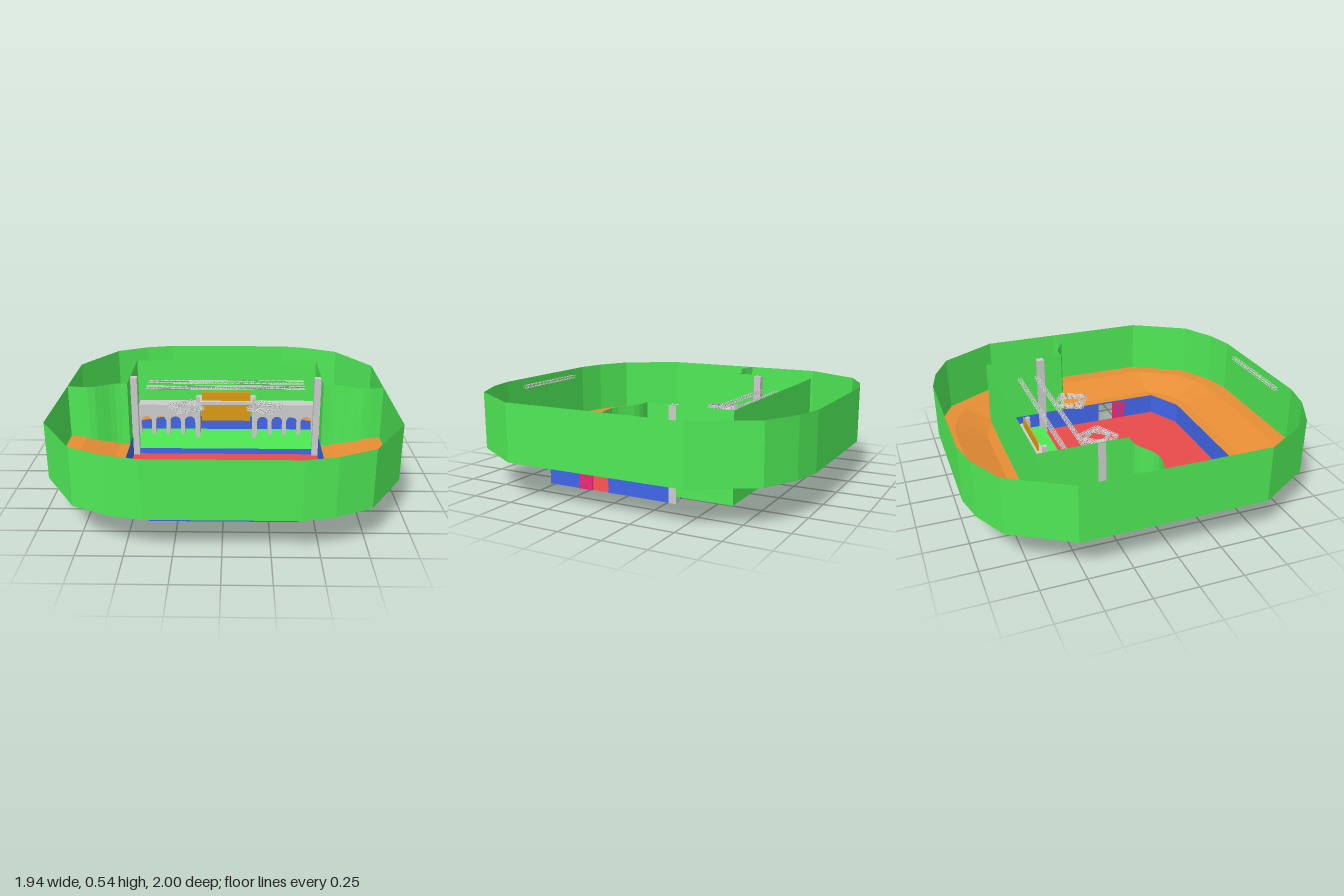
import * as THREE from 'three';
import { mergeGeometries } from 'three/addons/utils/BufferGeometryUtils.js';

const mat = (color) => new THREE.MeshStandardMaterial({ color, side: THREE.DoubleSide, flatShading: true });
const GREEN = mat(0x4ee855), ORANGE = mat(0xe68d35), BLUE = mat(0x4166e8), RED = mat(0xe84a4a);
const PINK = mat(0xee2a77), GOLD = mat(0xdd9a10), GREY = mat(0xcccccc);

// Surface through a list of equal-length rows of [x, y, z] points
function loft(rows) {
  const n = rows[0].length, index = [];
  for (let r = 0; r < rows.length - 1; r++) {
    for (let i = 0; i < n - 1; i++) {
      const a = r * n + i, b = a + n;
      index.push(a, a + 1, b, a + 1, b + 1, b);
    }
  }
  const g = new THREE.BufferGeometry();
  g.setAttribute('position', new THREE.Float32BufferAttribute(rows.flat(2), 3));
  g.setIndex(index);
  g.computeVertexNormals();
  return g;
}

// Upright sheet along a plan path of [x, z] points
const sheet = (path, y0, y1) => loft([y0, y1].map((y) => path.map(([x, z]) => [x, y, z])));

// Closed ring made by mirroring one quarter of a plan outline
function ring(quarter) {
  const back = [...quarter].reverse();
  const half = [...quarter, ...back.map(([x, z]) => [-x, z])];
  return [...half, ...half.map(([x, z]) => [-x, -z]), quarter[0]];
}

function box(x0, x1, y0, y1, z0, z1) {
  const g = new THREE.BoxGeometry(x1 - x0, y1 - y0, z1 - z0);
  return g.translate((x0 + x1) / 2, (y0 + y1) / 2, (z0 + z1) / 2);
}

// Flat horizontal panel from a plan outline
function panel(path, y) {
  const s = new THREE.Shape(path.map(([x, z]) => new THREE.Vector2(x, -z)));
  return new THREE.ShapeGeometry(s).rotateX(-Math.PI / 2).translate(0, y, 0);
}

function bar(a, b, r) {
  const d = new THREE.Vector3().subVectors(b, a);
  const g = new THREE.CylinderGeometry(r, r, d.length(), 4);
  g.applyQuaternion(new THREE.Quaternion().setFromUnitVectors(new THREE.Vector3(0, 1, 0), d.clone().normalize()));
  return g.translate((a.x + b.x) / 2, (a.y + b.y) / 2, (a.z + b.z) / 2);
}

// Square lattice truss along x, centred on the origin
function truss(length, w = 0.018, r = 0.0018) {
  const h = w / 2, n = Math.round(length / 0.04), step = length / n, parts = [];
  const P = (x, [y, z]) => new THREE.Vector3(x, y, z);
  const corners = [[h, h], [h, -h], [-h, -h], [-h, h]];
  corners.forEach((c, k) => {
    const next = corners[(k + 1) % 4];
    parts.push(bar(P(-length / 2, c), P(length / 2, c), r));
    for (let i = 0; i < n; i++) {
      const x = -length / 2 + i * step;
      parts.push(bar(P(x, c), P(x + step / 2, next), r * 0.7));
      parts.push(bar(P(x + step / 2, next), P(x + step, c), r * 0.7));
    }
  });
  return mergeGeometries(parts);
}

// Truss frame of four sides
function squareTruss(size) {
  return mergeGeometries([0, 1, 2, 3].map((k) =>
    truss(size, 0.014).translate(0, 0, size / 2).rotateY(k * Math.PI / 2)));
}

// Wall of round-headed arches from x = 0.2 to 0.6
function arcade() {
  const s = new THREE.Shape();
  s.moveTo(0.2, 0.04);
  for (let i = 0; i < 4; i++) {
    const c = 0.25 + i * 0.1;
    s.lineTo(c - 0.036, 0.04);
    s.lineTo(c - 0.036, 0.135);
    s.absarc(c, 0.135, 0.036, Math.PI, 0, true);
    s.lineTo(c + 0.036, 0.04);
  }
  s.lineTo(0.6, 0.04);
  s.lineTo(0.6, 0.255);
  s.lineTo(0.2, 0.255);
  return new THREE.ExtrudeGeometry(s, { depth: 0.03, bevelEnabled: false, curveSegments: 8 }).translate(0, 0, -0.56);
}

export function createModel() {
  const model = new THREE.Group();
  const add = (name, geometry, material) => {
    const m = new THREE.Mesh(geometry, material);
    m.name = name;
    model.add(m);
    return m;
  };

  // Outer wall and seating bowl
  const outer = ring([[0.97, 0.53], [0.77, 0.86], [0.57, 0.96], [0.4, 1]]);
  const upper = ring([[0.87, 0.53], [0.71, 0.78], [0.54, 0.87], [0.4, 0.9]]);
  const lower = ring([[0.67, 0.53], [0.6, 0.61], [0.5, 0.67], [0.4, 0.7]]);
  const inner = ring([[0.61, 0.53], [0.54, 0.565], [0.47, 0.6], [0.4, 0.635]]);
  add('outerWall', sheet(outer, 0.21, 0.54), GREEN);
  const at = (path, y) => path.map(([x, z]) => [x, y, z]);
  add('seatingBowl', loft([at(outer, 0.21), at(upper, 0.21), at(lower, 0.135), at(inner, 0.135)]), ORANGE);

  // Arena floor and its surrounding wall, with a gateway on each side
  const X = 0.608;
  add('arenaFloor', panel([[-X, -0.28], [X, -0.28], [X, 0.53], [0.4, 0.633], [-0.4, 0.633], [-X, 0.53]], 0.002), RED);
  add('frontArenaWall', sheet([[X, 0.23], [X, 0.53], [0.4, 0.635], [-0.4, 0.635], [-X, 0.53], [-X, 0.23]], 0, 0.135), BLUE);
  for (const s of [1, -1]) {
    add('sideArenaWall', sheet([[s * X, 0.13], [s * X, -0.28]], 0, 0.135), BLUE);
    add('gatewayLintel', sheet([[s * X, 0.23], [s * X, 0.13]], 0.125, 0.135), BLUE);
  }
  add('backArenaWall', sheet([[0.603, -0.28], [0.603, -0.53], [0.6, -0.628], [-0.6, -0.628], [-0.603, -0.53], [-0.603, -0.28]], 0.04, 0.135), BLUE);
  for (const z of [0.2325, 0.2785]) add('doorLeaf', box(0.604, 0.613, 0, 0.125, z, z + 0.044), PINK);

  // Stage, riser and green drapes
  add('stageFloor', panel([[-X, -0.632], [X, -0.632], [X, -0.28], [-X, -0.28]], 0.04), GREEN);
  add('stageRiser', sheet([[-X, -0.28], [X, -0.28]], 0, 0.04), BLUE);
  add('stageBackdrop', sheet([[0.61, -0.28], [0.61, -0.632], [-0.61, -0.632], [-0.61, -0.28]], 0.04, 0.54), GREEN);
  for (const s of [1, -1]) {
    const curve = new THREE.SplineCurve([[0.61, -0.13], [0.7, -0.125], [0.83, -0.06], [0.97, -0.08]].map(([x, z]) => new THREE.Vector2(s * x, z)));
    const path = curve.getPoints(10).map((p) => [p.x, p.y]);
    add('sideDrape', sheet([[s * 0.61, -0.28], [s * 0.61, -0.13]], 0.125, 0.54), GREEN);
    // Lower edge follows the slope of the seating
    const foot = path.map(([x, z]) => [x, 0.135 + 0.075 * THREE.MathUtils.clamp((Math.abs(x) - 0.67) / 0.2, 0, 1), z]);
    add('crossDrape', loft([foot, at(path, 0.54)]), GREEN);
    add('stagePillar', box(s * 0.59 - 0.022, s * 0.59 + 0.022, 0, 0.535, -0.302, -0.258), GREY);
  }

  // Arched stage set with a central portal
  const right = arcade();
  add('leftArcade', right, GREY);
  add('rightArcade', right.clone().rotateY(Math.PI).translate(0, 0, -1.09), GREY);
  for (const s of [1, -1]) {
    add('arcadeRoof', box(s * 0.4 - 0.2, s * 0.4 + 0.2, 0.235, 0.255, -0.627, -0.53), GREY);
    add('portalSide', box(s * 0.19 - 0.01, s * 0.19 + 0.01, 0.04, 0.28, -0.627, -0.5), GREY);
    add('portalPillar', box(s * 0.19 - 0.013, s * 0.19 + 0.013, 0.04, 0.335, -0.493, -0.467), GREY);
  }
  add('portalRoof', box(-0.2, 0.2, 0.275, 0.295, -0.627, -0.48), GREY);
  add('portalScreen', box(-0.165, 0.165, 0.15, 0.355, -0.515, -0.507), GOLD);

  // Overhead trusses
  for (const z of [-0.33, -0.44]) add('stageTruss', truss(1.03).translate(0, 0.45, z), GREY);
  add('frontTruss', truss(0.54).translate(0, 0.49, 0.978), GREY);
  for (const s of [1, -1]) {
    const frame = new THREE.Group();
    frame.name = 'hangingFrame';
    [[0.165, 0], [0.11, 0.35]].forEach(([size, turn]) => {
      const m = new THREE.Mesh(squareTruss(size).rotateY(turn), GREY);
      m.name = 'frameTruss';
      frame.add(m);
    });
    frame.position.set(s * 0.25, 0.37, -0.18);
    frame.rotation.y = -s * 0.48;
    model.add(frame);
  }
  return model;
}
